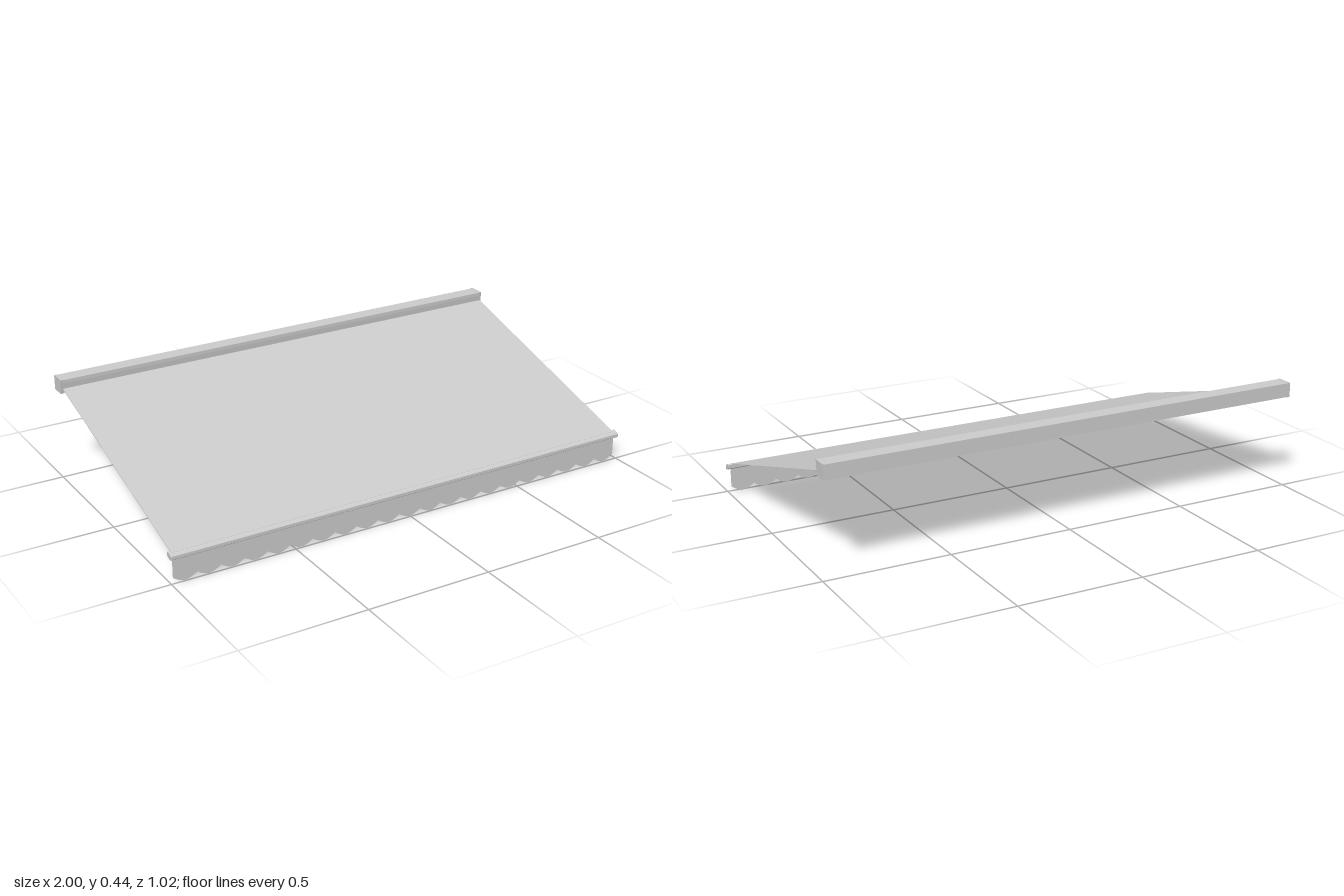
import * as THREE from 'three';

const mat = new THREE.MeshStandardMaterial({ color: 0xcccccc, flatShading: true, side: THREE.DoubleSide });

function add(group, name, geometry) {
  const mesh = new THREE.Mesh(geometry, mat);
  mesh.name = name;
  group.add(mesh);
  return mesh;
}

// Sweep a [z, y] profile along x from x0 to x1
function sweepX(points, x0, x1) {
  const shape = new THREE.Shape(points.map(([z, y]) => new THREE.Vector2(-z, y)));
  const g = new THREE.ExtrudeGeometry(shape, { depth: x1 - x0, bevelEnabled: false });
  g.rotateY(Math.PI / 2);
  g.translate(x0, 0, 0);
  return g;
}

// Square bar between two points, lying along the fabric slope
function bar(a, b, width, height) {
  const dir = b.clone().sub(a);
  const g = new THREE.BoxGeometry(width, height, dir.length());
  const m = new THREE.Matrix4().lookAt(b, a, new THREE.Vector3(0, 1, 0));
  g.applyMatrix4(m);
  const c = a.clone().add(b).multiplyScalar(0.5);
  g.translate(c.x, c.y, c.z);
  return g;
}

export function createModel() {
  const awning = new THREE.Group();
  awning.name = 'awning';
  const left = 0.985, right = -0.99;
  const slopeY = (z) => 0.393 - (z + 0.455) * 0.293;

  // Wall cassette with a top lip and a slightly raked front
  add(awning, 'cassette', sweepX([
    [-0.511, 0.377], [-0.511, 0.434], [-0.446, 0.434],
    [-0.446, 0.42], [-0.451, 0.418], [-0.455, 0.377],
  ], -0.99, 0.977));
  for (const [x0, x1] of [[-1, -0.99], [0.977, 0.987]]) {
    add(awning, 'cassetteEndCap', sweepX([
      [-0.512, 0.376], [-0.512, 0.435], [-0.446, 0.435], [-0.452, 0.376],
    ], x0, x1));
  }

  // Sloping fabric sheet
  add(awning, 'fabric', sweepX([
    [-0.456, slopeY(-0.456)], [-0.456, slopeY(-0.456) + 0.003],
    [0.49, slopeY(0.49) + 0.003], [0.49, slopeY(0.49)],
  ], right, left));

  // Front rail
  add(awning, 'frontRail', sweepX([
    [0.5, 0.094], [0.505, 0.098], [0.505, 0.11], [0.5, 0.115],
    [0.482, 0.121], [0.476, 0.118], [0.476, 0.104], [0.48, 0.1],
  ], -1, 1));

  // Scalloped valance
  const n = 21, w = (left - right) / n, depth = 0.02;
  const edge = new THREE.Shape();
  edge.moveTo(right, 0.108);
  edge.lineTo(right, depth);
  for (let i = 0; i < n; i++) {
    for (let k = 1; k <= 8; k++) {
      const t = k / 8;
      edge.lineTo(right + (i + t) * w, depth * (1 - Math.sin(Math.PI * t)));
    }
  }
  edge.lineTo(left, 0.108);
  const valance = new THREE.ExtrudeGeometry(edge, { depth: 0.003, bevelEnabled: false });
  valance.translate(0, 0, 0.492);
  add(awning, 'valance', valance);

  // Folding arms, mirrored, with an elbow half way
  for (const s of [-1, 1]) {
    const arm = new THREE.Group();
    arm.name = s > 0 ? 'leftArm' : 'rightArm';
    const at = (x, z) => new THREE.Vector3(s * x, slopeY(z) - 0.009, z);
    const shoulder = at(0.945, -0.46), elbow = at(0.87, 0.03), wrist = at(0.875, 0.48);
    add(arm, 'upperArm', bar(shoulder, elbow, 0.02, 0.014));
    add(arm, 'forearm', bar(elbow, wrist, 0.016, 0.012));
    const joint = new THREE.CylinderGeometry(0.012, 0.012, 0.015, 12);
    joint.rotateX(0.285);
    add(arm, 'elbowJoint', joint).position.copy(elbow);
    awning.add(arm);
  }
  return awning;
}
